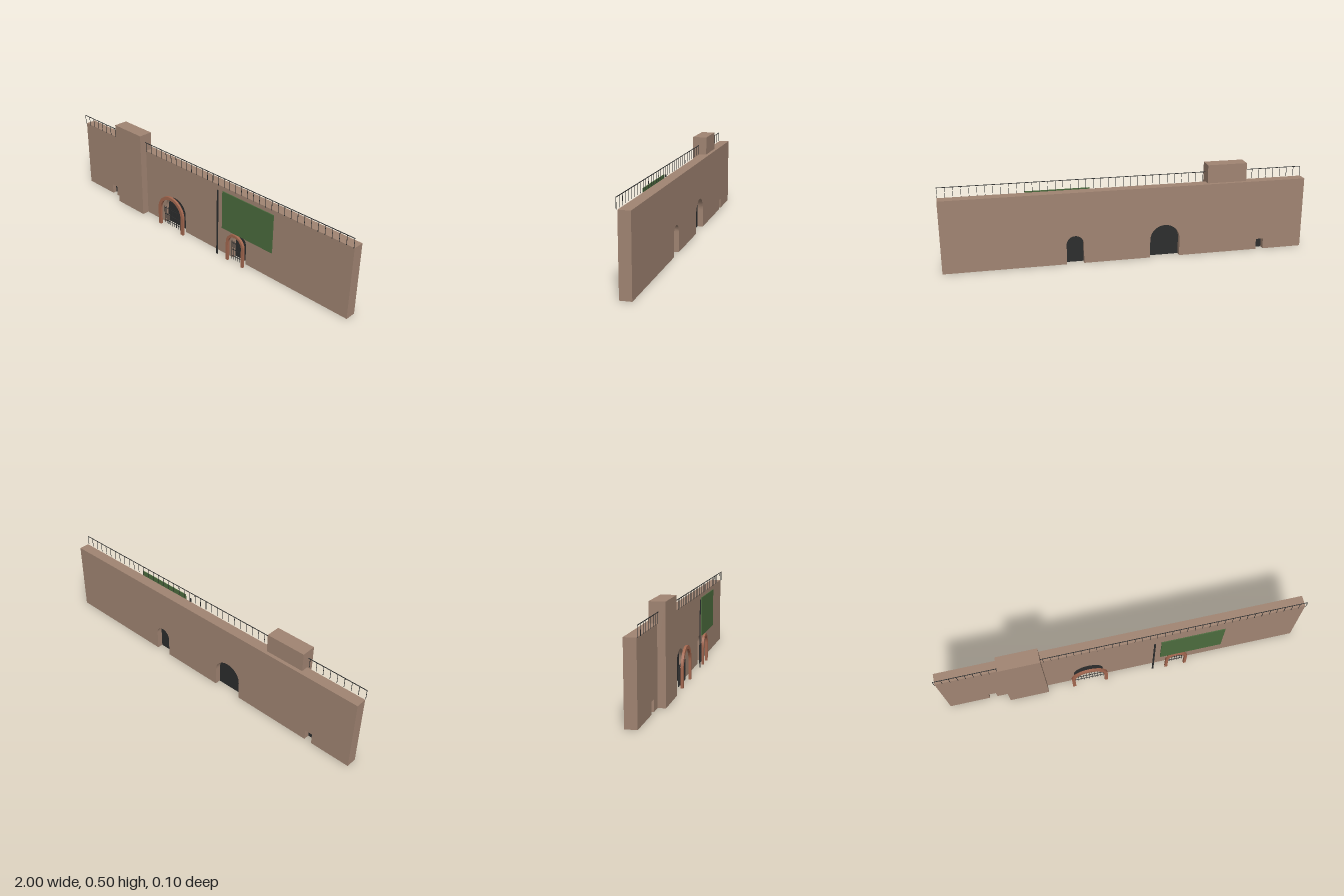
import * as THREE from 'three';

const mat = (name, color) => {
  const m = new THREE.MeshStandardMaterial({ color });
  m.name = name;
  return m;
};

export function createModel() {
  const model = new THREE.Group();
  model.name = 'gateWall';
  const stone = mat('brownStone', 0xa08472);
  const brick = mat('redBrick', 0xa3674f);
  const green = mat('boardGreen', 0x4b6b3d);
  const iron = mat('darkIron', 0x2c2d2d);

  const add = (name, geometry, material, parent = model) => {
    const mesh = new THREE.Mesh(geometry, material);
    mesh.name = name;
    parent.add(mesh);
    return mesh;
  };
  // Box given by its minimum and maximum corners
  const box = (name, x0, x1, y0, y1, z0, z1, material, parent) => {
    const mesh = add(name, new THREE.BoxGeometry(x1 - x0, y1 - y0, z1 - z0), material, parent);
    mesh.position.set((x0 + x1) / 2, (y0 + y1) / 2, (z0 + z1) / 2);
    return mesh;
  };
  const extrude = (shape, z0, z1) =>
    new THREE.ExtrudeGeometry(shape, { depth: z1 - z0, bevelEnabled: false, curveSegments: 16 })
      .translate(0, 0, z0);

  // Arched path running from the left foot over the top to the right foot
  const traceArch = (path, x, r, spring) => {
    path.lineTo(x - r, 0);
    path.lineTo(x - r, spring);
    path.absarc(x, spring, r, Math.PI, 0, true);
    path.lineTo(x + r, 0);
  };

  const gates = [
    { name: 'largeGate', x: -0.2, inner: 0.083, outer: 0.102, spring: 0.101, bars: 11 },
    { name: 'smallGate', x: 0.297, inner: 0.047, outer: 0.062, spring: 0.111, bars: 7 },
  ];
  const hatch = { x0: -0.775, x1: -0.733, h: 0.06 };

  // Wall with a hatch and two arched openings
  const wall = new THREE.Shape();
  wall.moveTo(-1, 0);
  wall.lineTo(hatch.x0, 0);
  wall.lineTo(hatch.x0, hatch.h);
  wall.lineTo(hatch.x1, hatch.h);
  wall.lineTo(hatch.x1, 0);
  for (const g of gates) traceArch(wall, g.x, g.inner, g.spring);
  wall.lineTo(1, 0);
  wall.lineTo(1, 0.4);
  wall.lineTo(-1, 0.4);
  wall.closePath();
  add('wall', extrude(wall, -0.05, 0.01), stone);
  box('hatchDoor', hatch.x0, hatch.x1, 0, hatch.h, -0.018, -0.014, iron);

  // Tower
  box('tower', -0.664, -0.442, 0, 0.502, -0.03, 0.05, stone);

  // Gates: door leaf, brick surround and front grille
  for (const g of gates) {
    const group = new THREE.Group();
    group.name = g.name;
    model.add(group);

    const leaf = new THREE.Shape();
    leaf.moveTo(g.x + g.inner, 0);
    traceArch(leaf, g.x, g.inner, g.spring);
    add('gateLeaf', extrude(leaf, -0.018, -0.014), iron, group);

    const ring = new THREE.Shape();
    ring.moveTo(g.x - g.outer, 0);
    traceArch(ring, g.x, g.outer, g.spring);
    ring.lineTo(g.x + g.inner, 0);
    ring.lineTo(g.x + g.inner, g.spring);
    ring.absarc(g.x, g.spring, g.inner, 0, Math.PI, false);
    ring.lineTo(g.x - g.inner, 0);
    ring.closePath();
    add('brickSurround', extrude(ring, 0.037, 0.05), brick, group);

    const half = g.inner - 0.003;
    for (let i = 0; i < g.bars; i++) {
      const x = g.x - half + (2 * half * i) / (g.bars - 1);
      box('grilleBar', x - 0.001, x + 0.001, 0, 0.112, 0.019, 0.022, iron, group);
    }
    for (const y of [0.02, 0.06, 0.1]) {
      box('grilleRail', g.x - half, g.x + half, y - 0.001, y + 0.001, 0.019, 0.022, iron, group);
    }
  }

  // Board and the pole beside it
  box('board', 0.2, 0.547, 0.178, 0.397, 0.041, 0.046, green);
  box('pole', 0.16, 0.169, 0, 0.39, 0.041, 0.045, iron);

  // Railing along the top
  const railing = new THREE.Group();
  railing.name = 'railing';
  model.add(railing);
  const spaces = 49;
  for (let i = 0; i <= spaces; i++) {
    const x = -0.999 + (1.998 * i) / spaces;
    box('railingPost', x - 0.001, x + 0.001, 0.4, 0.453, 0.0145, 0.0165, iron, railing);
  }
  box('handrail', -1, 1, 0.452, 0.455, 0.0135, 0.0165, iron, railing);

  return model;
}
